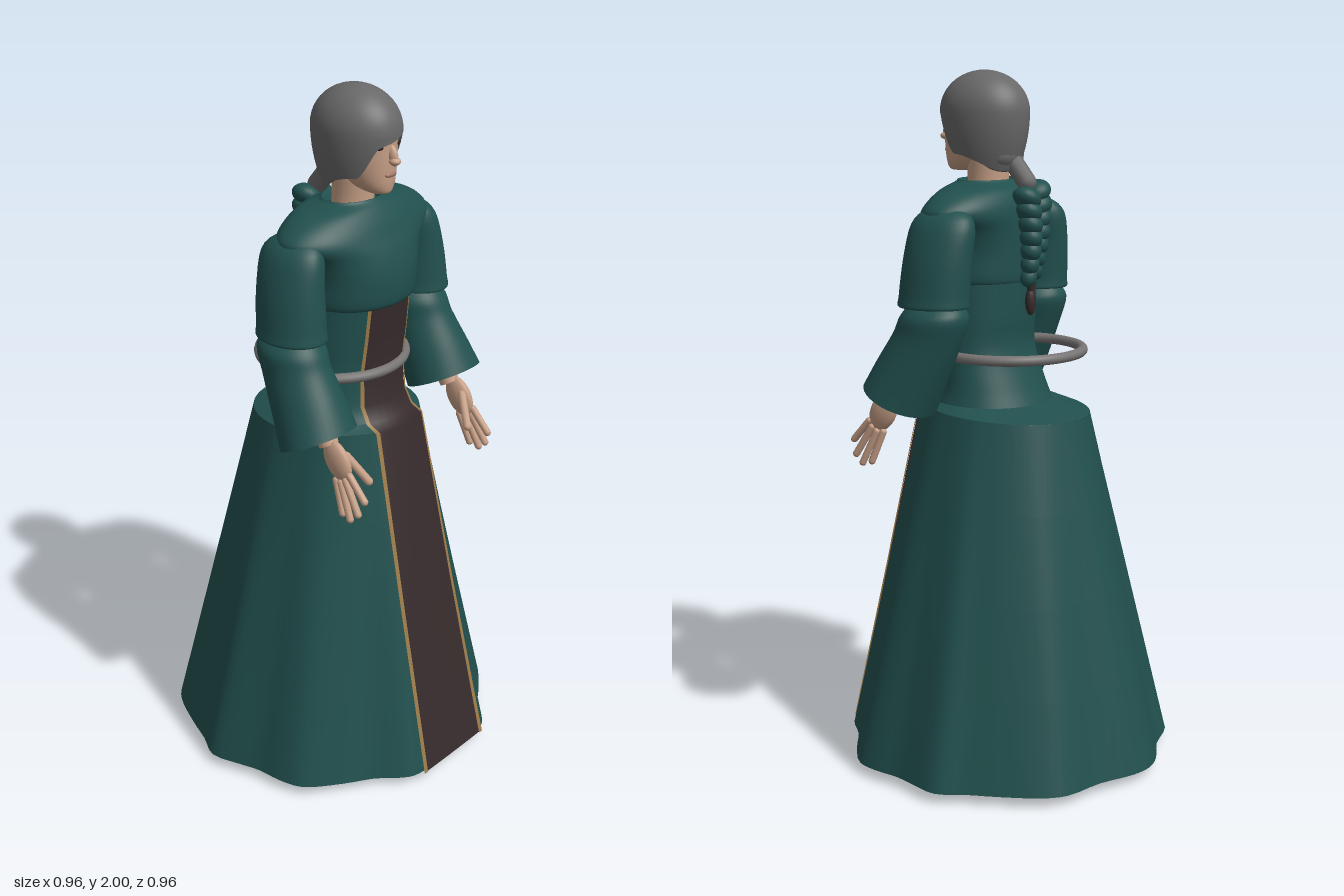
import * as THREE from 'three';

const mat = (name, color, side = THREE.FrontSide) => {
  const m = new THREE.MeshStandardMaterial({ color, side });
  m.name = name;
  return m;
};
const V = (x, y, z) => new THREE.Vector3(x, y, z);

// Surface through rows of points; rows run upward, points run from +x through +z
function grid(rows, closed = true) {
  const n = rows[0].length, idx = [];
  for (let i = 0; i < rows.length - 1; i++)
    for (let j = 0; j < (closed ? n : n - 1); j++) {
      const k = (j + 1) % n, a = i * n + j, b = i * n + k;
      idx.push(a, a + n, b, b, a + n, b + n);
    }
  const g = new THREE.BufferGeometry().setFromPoints(rows.flat());
  g.setIndex(idx);
  g.computeVertexNormals();
  return g;
}

// Elliptical rings [x, y, z, halfWidth, halfDepth, tilt], smoothed along the length
function loft(rings, steps = 4, n = 40) {
  const rows = [];
  const at = i => rings[Math.max(0, Math.min(rings.length - 1, i))];
  const total = (rings.length - 1) * steps;
  for (let s = 0; s <= total; s++) {
    const i = Math.min(Math.floor(s / steps), rings.length - 2), t = s / steps - i;
    const [x, y, z, a, b, tilt] = [0, 1, 2, 3, 4, 5].map(k => {
      const [p, q, r, w] = [-1, 0, 1, 2].map(d => at(i + d)[k] || 0);
      return q + 0.5 * t * (r - p + t * (2 * p - 5 * q + 4 * r - w + t * (3 * (q - r) + w - p)));
    });
    rows.push(Array.from({ length: n }, (_, j) => {
      const u = j / n * Math.PI * 2, d = b * Math.sin(u);
      return V(x + a * Math.cos(u), y + d * Math.sin(tilt), z + d * Math.cos(tilt));
    }));
  }
  return grid(rows);
}
// Rings given as [y, halfWidth, front z, back z, tilt]
const body = list => list.map(([y, a, f, b, t = 0]) => [0, y, (f + b) / 2, a, (f - b) / 2, t]);

export function createModel() {
  const model = new THREE.Group();
  model.name = 'robedWoman';
  const cloth = mat('teal cloth', 0x21504e, THREE.DoubleSide);
  const brown = mat('dark brown cloth', 0x372b2c, THREE.DoubleSide);
  const gold = mat('gold trim', 0x9c7a48, THREE.DoubleSide);
  const skin = mat('skin', 0xc69f86);
  const lipColor = mat('lips', 0xa5776a);
  const hairColor = mat('grey hair', 0x686868, THREE.DoubleSide);
  const belt = mat('grey belt', 0x777473);
  const dark = mat('dark features', 0x30241f);

  const add = (name, geo, material) => {
    const m = new THREE.Mesh(geo, material);
    m.name = name;
    model.add(m);
    return m;
  };
  const ball = (name, p, r, material) => {
    const m = add(name, new THREE.SphereGeometry(1, 20, 14), material);
    m.position.set(...p);
    m.scale.set(...r);
    return m;
  };
  // Tapered limb between two points, rounded when both radii match
  const limb = (name, p, q, r0, r1, material) => {
    const a = V(...p), b = V(...q), d = b.clone().sub(a), len = d.length();
    const geo = r0 === r1 ? new THREE.CapsuleGeometry(r0, len, 5, 10) : new THREE.CylinderGeometry(r1, r0, len, 18);
    const m = add(name, geo, material);
    m.position.copy(a).add(b).multiplyScalar(0.5);
    m.quaternion.setFromUnitVectors(V(0, 1, 0), d.normalize());
    return m;
  };

  // Skirt: wavy hem rising to an oval top
  const half = [[0, -.475], [.07, -.46], [.17, -.41], [.29, -.375], [.34, -.33], [.4, -.22], [.44, -.13], [.48, -.055],
    [.46, .04], [.445, .1], [.44, .18], [.42, .25], [.33, .33], [.25, .385], [.18, .455], [.13, .47], [0, .472]];
  const outline = [...half, ...half.slice(1, -1).reverse().map(([x, z]) => [-x, z])];
  const hem = new THREE.CatmullRomCurve3(outline.map(([x, z]) => V(x, .03, z)), true, 'centripetal').getPoints(96).slice(0, 96);
  const tops = hem.map(p => {
    const u = Math.atan2(p.z, p.x);
    return V(.225 * Math.cos(u), 1.045 + .015 * Math.sin(u), .015 + .25 * Math.sin(u));
  });
  add('skirt', grid([0, .25, .5, .75, 1].map(t => hem.map((p, i) => p.clone().lerp(tops[i], t)))), cloth);

  // Hip ledge and waist
  add('hipLedge', loft(body([[1.045, .225, .265, -.235, .06], [1.068, .188, .228, -.105, .03]]), 2, 64), cloth);
  add('waist', loft(body([[1.068, .188, .228, -.105, .03], [1.12, .176, .205, -.08], [1.22, .165, .195, -.045],
    [1.32, .165, .208, -.05], [1.44, .165, .22, -.055]]), 5, 64), cloth);

  // Front panel and trims: [y, halfWidth, z at middle, setback at edge]
  const front = [[.032, .135, .475, .001], [.54, .116, .37, .012], [1.058, .098, .268, .024], [1.075, .097, .232, .024],
    [1.12, .095, .208, .024], [1.22, .09, .198, .02], [1.32, .088, .211, .02], [1.42, .086, .221, .02]];
  const strip = (u0, u1, lift) => grid(front.map(([y, w, z, drop]) => Array.from({ length: 9 }, (_, j) => {
    const u = u1 + (u0 - u1) * j / 8;
    return V(u * w, y, z - drop * u * u + lift);
  })), false);
  add('frontPanel', strip(-1, 1, .006), brown);
  add('leftTrim', strip(.93, 1.04, .009), gold);
  add('rightTrim', strip(-1.04, -.93, .009), gold);

  // Belt hoop
  const hoop = add('beltHoop', new THREE.TorusGeometry(.208, .015, 12, 64), belt);
  hoop.rotation.x = Math.PI / 2;
  hoop.position.set(0, 1.212, 0);

  // Bodice with overhanging lower edge and collar
  add('bodice', loft(body([[1.415, .13, .2, -.04], [1.41, .165, .228, -.052], [1.43, .178, .242, -.058], [1.5, .185, .245, -.06],
    [1.56, .215, .232, -.06], [1.605, .275, .212, -.058], [1.64, .255, .196, -.052], [1.672, .195, .176, -.035],
    [1.69, .115, .158, -.005], [1.697, .1, .15, .005], [1.675, .075, .135, .02]]), 4, 56), cloth);

  for (const s of [1, -1]) {
    const side = s > 0 ? 'left' : 'right';
    const X = p => [p[0] * s, ...p.slice(1)];
    // Two-part sleeve with open bell cuff
    add(side + 'UpperSleeve', loft([[.25, 1.37, .085, .05, .07], [.262, 1.36, .085, .083, .104], [.262, 1.39, .083, .082, .105],
      [.255, 1.49, .075, .075, .104], [.238, 1.585, .068, .062, .098], [.225, 1.625, .068, .035, .06],
      [.22, 1.635, .068, .002, .003]].map(X)), cloth);
    add(side + 'LowerSleeve', loft([[.277, 1.095, .192, .113, .108, .43], [.272, 1.17, .155, .1, .105, .35],
      [.266, 1.27, .105, .086, .101, .15], [.262, 1.33, .083, .086, .102], [.26, 1.365, .08, .06, .08]].map(X)), cloth);
    // Arm and hand
    limb(side + 'Forearm', X([.262, 1.32, .09]), X([.268, 1.08, .222]), .045, .028, skin);
    const palm = ball(side + 'Palm', X([.272, 1.045, .256]), [.02, .062, .042], skin);
    palm.rotation.x = -.55;
    [[[.277, 1.015, .303], [.278, .955, .357]], [[.28, .998, .292], [.288, .915, .343]],
      [[.28, .987, .275], [.291, .893, .318]], [[.276, .987, .255], [.287, .9, .288]]].forEach(([a, b], i) =>
      limb(side + 'Finger' + (i + 1), X(a), X(b), .0105, .0105, skin));
    limb(side + 'Thumb', X([.258, 1.06, .275]), X([.222, .985, .325]), .012, .012, skin);
    // Leg and foot
    add(side + 'Leg', loft([[.218, .03, .025, .032, .036], [.215, .1, .022, .031, .036], [.2, .28, .01, .05, .056],
      [.18, .46, .025, .05, .054], [.14, .8, .03, .075, .08], [.12, .98, .03, .07, .08]].map(X), 4, 24), skin);
    const foot = ball(side + 'Foot', X([.222, .036, .095]), [.041, .036, .115], skin);
    foot.rotation.y = s * .12;
    ball(side + 'Heel', X([.217, .032, .025]), [.033, .032, .036], skin);
    for (let i = 0; i < 5; i++)
      ball(side + 'Toe' + (i + 1), X([.197 + i * .0165, .014, .217 - i * i * .0025]), [.011 - i * .0007, .013, .024], skin);
    // Eye and brow
    ball(side + 'Eye', X([.034, 1.852, .198]), [.014, .006, .006], dark);
    const brow = ball(side + 'Brow', X([.036, 1.874, .2]), [.02, .0035, .005], dark);
    brow.rotation.y = s * .35;
  }

  // Neck, head and face
  add('neck', loft(body([[1.62, .065, .14, .01], [1.69, .055, .135, .015], [1.78, .055, .14, .01]]), 4, 28), skin);
  add('head', loft(body([[1.717, .003, .172, .166], [1.72, .026, .198, .13], [1.738, .05, .206, .08], [1.775, .068, .209, .04],
    [1.83, .08, .21, .005], [1.9, .085, .208, -.01], [1.95, .066, .18, .02], [1.975, .005, .11, .1]]), 4, 36), skin);
  const nose = ball('nose', [0, 1.828, .211], [.012, .03, .017], skin);
  nose.rotation.x = -.3;
  ball('noseTip', [0, 1.813, .219], [.016, .011, .017], skin);
  ball('lips', [0, 1.775, .206], [.023, .008, .008], lipColor);

  // Bobbed hair with swept fringe
  const hairRows = [];
  for (let i = 0; i <= 20; i++) {
    hairRows.unshift(Array.from({ length: 64 }, (_, j) => {
      const u = j / 64 * Math.PI * 2, t = Math.atan2(Math.cos(u), Math.sin(u));
      const away = Math.abs(t) + (t < 0 ? .15 : 0);
      const k = THREE.MathUtils.smoothstep(away, .58, 1.15), back = THREE.MathUtils.smoothstep(away, 1.2, 2.6);
      const low = 1.868 + .025 * Math.sin(t) * (1 - k) - k * .1 - back * .045;
      const phi = Math.min(i / 12, 1) * Math.PI / 2, down = Math.max(0, (i - 12) / 8);
      const y = i <= 12 ? 1.885 + .115 * Math.cos(phi) : 1.885 + (low - 1.885) * down;
      const f = i <= 12 ? Math.sin(phi) : 1 - .22 * ((1.885 - y) / .15) ** 2;
      return V(.108 * f * Math.cos(u), y, .086 + .135 * f * Math.sin(u));
    }));
  }
  add('hair', grid(hairRows), hairColor);
  ball('hairNape', [0, 1.765, .03], [.072, .05, .06], hairColor);
  limb('ponytail', [0, 1.74, -.015], [0, 1.69, -.055], .028, .028, hairColor);

  // Wrapped braid down the back, with a loose tip
  for (let i = 0; i < 7; i++) {
    const w = 1 - i * .07, y = 1.665 - i * .037, z = -.07 - .012 * Math.sin(i / 6 * Math.PI);
    for (const s of [-1, 1]) {
      const lobe = ball('braidLobe', [s * .026 * w, y - (s > 0 ? .016 : 0), z], [.042 * w, .03, .042 * w], cloth);
      lobe.rotation.z = s * .5;
    }
  }
  limb('braidTie', [0, 1.43, -.07], [0, 1.385, -.07], .016, .011, brown);
  ball('braidTip', [0, 1.355, -.068], [.017, .04, .015], brown);
  return model;
}
